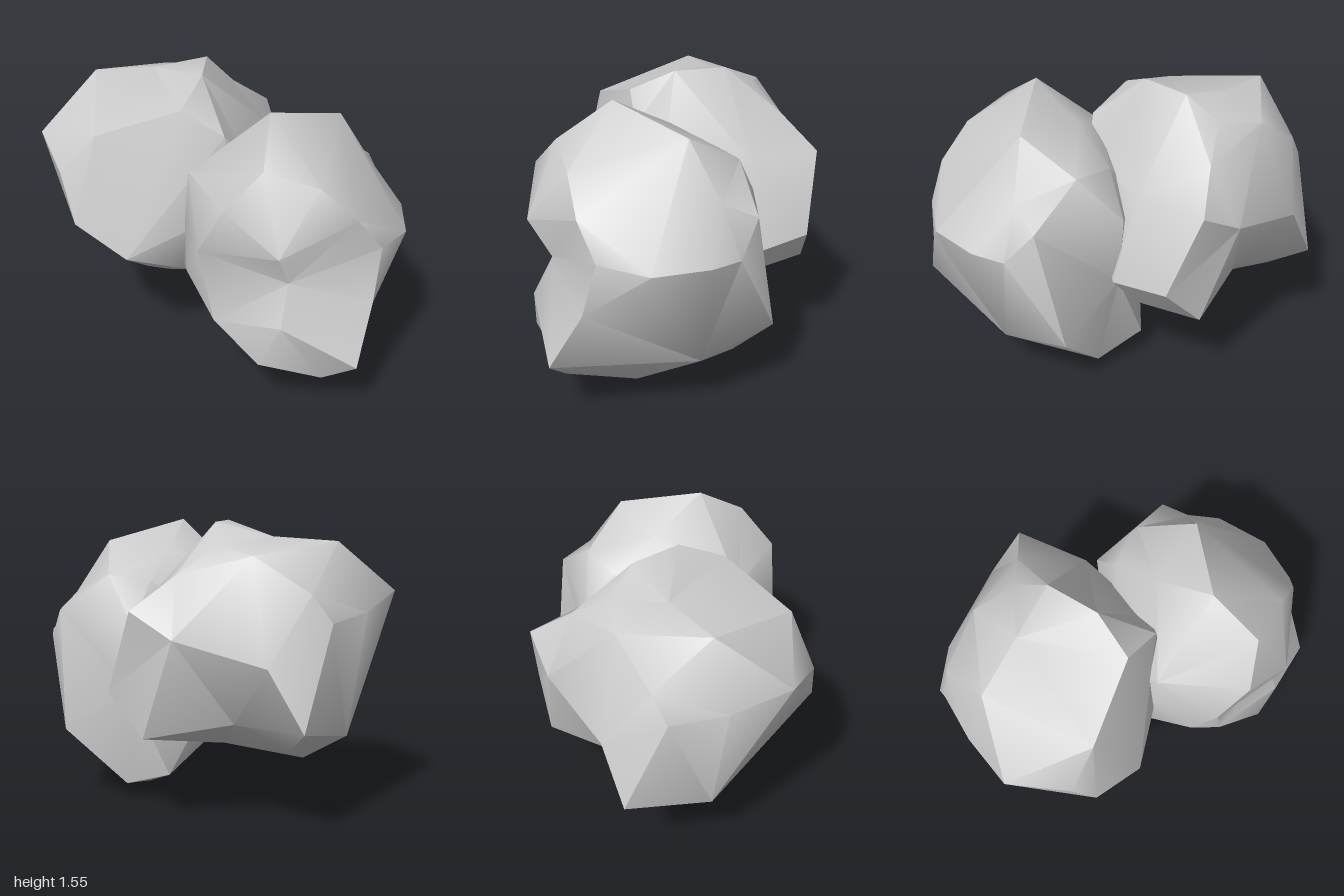
import * as THREE from 'three';
import { ConvexGeometry } from 'three/addons/geometries/ConvexGeometry.js';
import { toCreasedNormals } from 'three/addons/utils/BufferGeometryUtils.js';

const material = new THREE.MeshStandardMaterial({ color: 0xcccccc });

// Skin corner points around a centre: triangulate their directions on a
// sphere, then push each corner out to its own radius (allows shallow dents).
function boulder(name, centre, crease, corners) {
  const c = new THREE.Vector3(...centre);
  const points = corners.map((p) => new THREE.Vector3(...p));
  const dirs = points.map((p) => p.clone().sub(c).normalize());
  const geometry = new ConvexGeometry(dirs);
  const pos = geometry.attributes.position;
  const v = new THREE.Vector3();
  for (let i = 0; i < pos.count; i++) {
    v.fromBufferAttribute(pos, i);
    let best = 0;
    dirs.forEach((d, k) => {
      if (d.distanceToSquared(v) < dirs[best].distanceToSquared(v)) best = k;
    });
    pos.setXYZ(i, points[best].x, points[best].y, points[best].z);
  }
  const mesh = new THREE.Mesh(toCreasedNormals(geometry, crease), material);
  mesh.name = name;
  return mesh;
}

export function createModel() {
  const group = new THREE.Group();
  group.name = 'boulderPair';

  group.add(boulder('frontBoulder', [0.4, 0.75, 0.2], 0.75, [
    // crown
    [0.28, 1.535, 0.36], [0.27, 1.38, 0.05], [0.64, 1.42, 0.07],
    [0.3, 1.22, -0.22], [0.54, 1.25, -0.23], [0.8, 1.13, -0.05],
    // front face rim
    [0.26, 1.35, 0.65], [0.54, 1.27, 0.65], [0.73, 1.1, 0.65], [0.86, 0.92, 0.59],
    [0.83, 0.64, 0.66], [0.76, 0.34, 0.82], [0.59, 0.185, 0.71], [0.26, 0.32, 0.8],
    [0.02, 0.48, 0.65], [-0.13, 0.7, 0.53], [-0.06, 0.89, 0.64], [0.07, 1.17, 0.73],
    // swells and dip of the front face
    [0.35, 0.97, 0.83], [0.4, 0.77, 0.72], [0.37, 0.56, 0.82],
    // right ridge
    [1, 0.89, 0.36], [1, 0.89, 0.06], [0.93, 0.88, -0.11], [0.83, 1.05, -0.23],
    // back
    [0.36, 1.0, -0.38], [0.38, 0.63, -0.365], [0.76, 0.4, -0.36],
    // underside
    [0.83, 0.29, 0.055], [0.59, 0.085, 0.33], [0.41, 0.0, 0.07],
    [0.44, 0.08, -0.26], [0.17, 0.17, -0.33],
    // inner side
    [-0.08, 0.42, 0.15], [-0.17, 0.6, 0.3], [-0.16, 0.9, 0.3], [-0.14, 1.16, 0.3],
    [-0.12, 0.8, 0.0],
  ]));

  group.add(boulder('backBoulder', [-0.3, 0.93, -0.25], 0.65, [
    // crown
    [-0.1, 1.55, -0.08], [-0.1, 1.55, -0.37], [-0.15, 1.44, -0.55], [-0.36, 1.4, -0.66],
    [0.03, 1.3, -0.66], [-0.4, 1.48, -0.37], [-0.73, 1.46, -0.355],
    [-0.19, 1.44, 0.15], [-0.64, 1.31, 0.22],
    // left side
    [-1, 1.19, -0.08], [-0.84, 1.08, 0.21], [-0.8, 0.47, -0.4],
    [-0.89, 1.11, -0.38], [-0.75, 1.08, -0.64],
    // front face
    [-0.76, 0.82, 0.3], [-0.47, 0.67, 0.4], [-0.4, 0.46, 0.12], [-0.15, 0.5, 0.2],
    [0.07, 0.9, 0.23], [0.04, 1.31, 0.18], [0.18, 1.1, 0.07],
    // underside
    [-0.57, 0.33, -0.37], [-0.3, 0.37, 0.0], [-0.15, 0.38, -0.36], [-0.55, 0.44, -0.64],
    // back
    [-0.65, 1.22, -0.66], [-0.65, 0.57, -0.84], [-0.47, 0.88, -0.84], [0, 1.0, -0.845],
    [-0.26, 0.55, -0.63], [0.23, 1.13, -0.8],
    // right side and its undercut
    [0.28, 1.12, -0.4], [0.38, 0.7, -0.7], [0.43, 0.65, -0.37],
    [0.18, 0.48, -0.76], [0.3, 0.48, -0.41],
  ]));

  return group;
}
